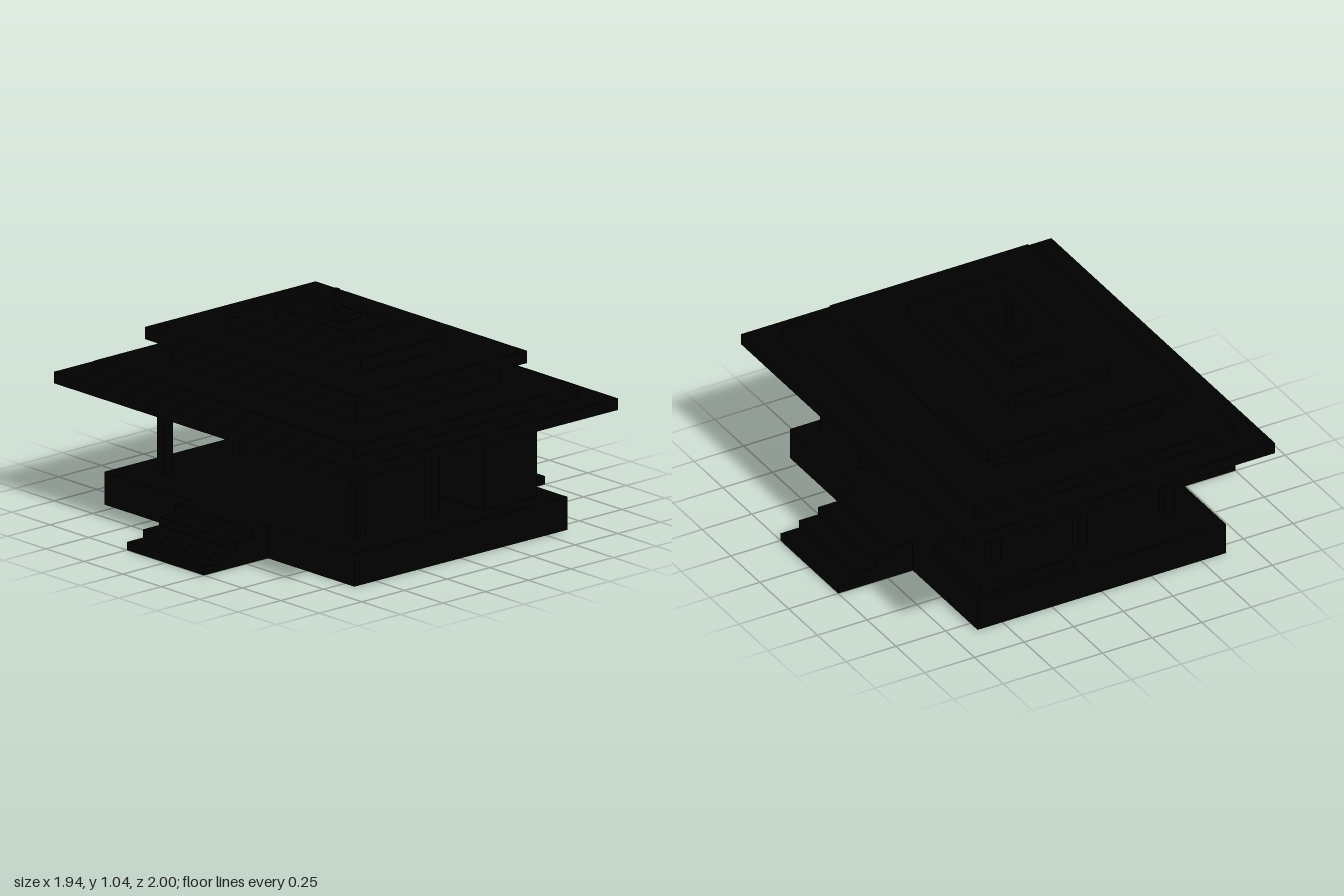
import * as THREE from 'three';

export function createModel() {
  const model = new THREE.Group();
  model.name = 'pavilion';
  const black = new THREE.MeshStandardMaterial({ color: 0x000000, side: THREE.DoubleSide });
  black.name = 'black';

  function add(name, geometry, x, y, z, parent = model) {
    const mesh = new THREE.Mesh(geometry, black);
    mesh.name = name;
    mesh.position.set(x, y, z);
    parent.add(mesh);
    return mesh;
  }

  // Block of width w and depth d, centred on (x, z), from y0 up to y1
  function block(name, w, d, y0, y1, x = 0, z = 0) {
    return add(name, new THREE.BoxGeometry(w, y1 - y0, d), x, (y0 + y1) / 2, z);
  }

  // Hollow raised floor: a box without its underside (the fourth face)
  const floorY = 0.15, halfDepth = 0.625;
  const base = block('base', 1.625, 2 * halfDepth, 0, floorY);
  const faces = Array.from(base.geometry.index.array);
  faces.splice(18, 6);
  base.geometry.setIndex(faces);
  base.geometry.clearGroups();

  // Hollow stairs: treads, risers and two stepped side panels
  function stairs(name) {
    const group = new THREE.Group();
    group.name = name;
    const steps = 4, run = (1 - halfDepth) / steps, rise = floorY / steps, width = 0.5;
    const outline = new THREE.Shape().moveTo(0, 0).lineTo(0, floorY);
    for (let i = 0; i < steps; i++) {
      const y = floorY - i * rise, end = (i + 1) * run;
      add('tread', new THREE.PlaneGeometry(width, run).rotateX(-Math.PI / 2), 0, y, halfDepth + end - run / 2, group);
      add('riser', new THREE.PlaneGeometry(width, rise), 0, y - rise / 2, halfDepth + end, group);
      outline.lineTo(end, y).lineTo(end, y - rise);
    }
    for (const side of [-1, 1]) {
      const panel = new THREE.ShapeGeometry(outline).rotateY(-Math.PI / 2);
      add('stairSide', panel, side * width / 2, 0, halfDepth, group);
    }
    model.add(group);
    return group;
  }
  stairs('frontStairs');
  stairs('backStairs').rotation.y = Math.PI;

  // Low platform in one back corner, closed room in the other
  block('lowPlatform', 0.406, 0.469, floorY, 0.2, -0.581, -0.359);
  block('cornerRoom', 0.342, 0.312, floorY, 0.488, 0.546, -0.375);

  // Square posts, three along each side
  for (const x of [-0.625, 0.625]) {
    for (const z of [-0.4385, 0, 0.4385]) block('post', 0.05, 0.05, floorY, 0.55, x, z);
  }

  // Stepped roof: name, width, depth, bottom, top
  const tiers = [
    ['lowerEave', 1.9375, 1.5625, 0.55, 0.602],
    ['lowerRoof', 1.6875, 1.3125, 0.602, 0.656],
    ['upperWall', 1.2, 0.85, 0.656, 0.757],
    ['upperEave', 1.375, 1.0, 0.757, 0.813],
    ['upperRoof', 0.875, 0.5, 0.813, 0.876],
    ['roofCap', 0.5, 0.25, 0.876, 0.919],
    ['finialBase', 0.1875, 0.125, 0.919, 0.943],
    ['finial', 0.025, 0.025, 0.943, 1.042],
  ];
  for (const tier of tiers) block(...tier);

  return model;
}
